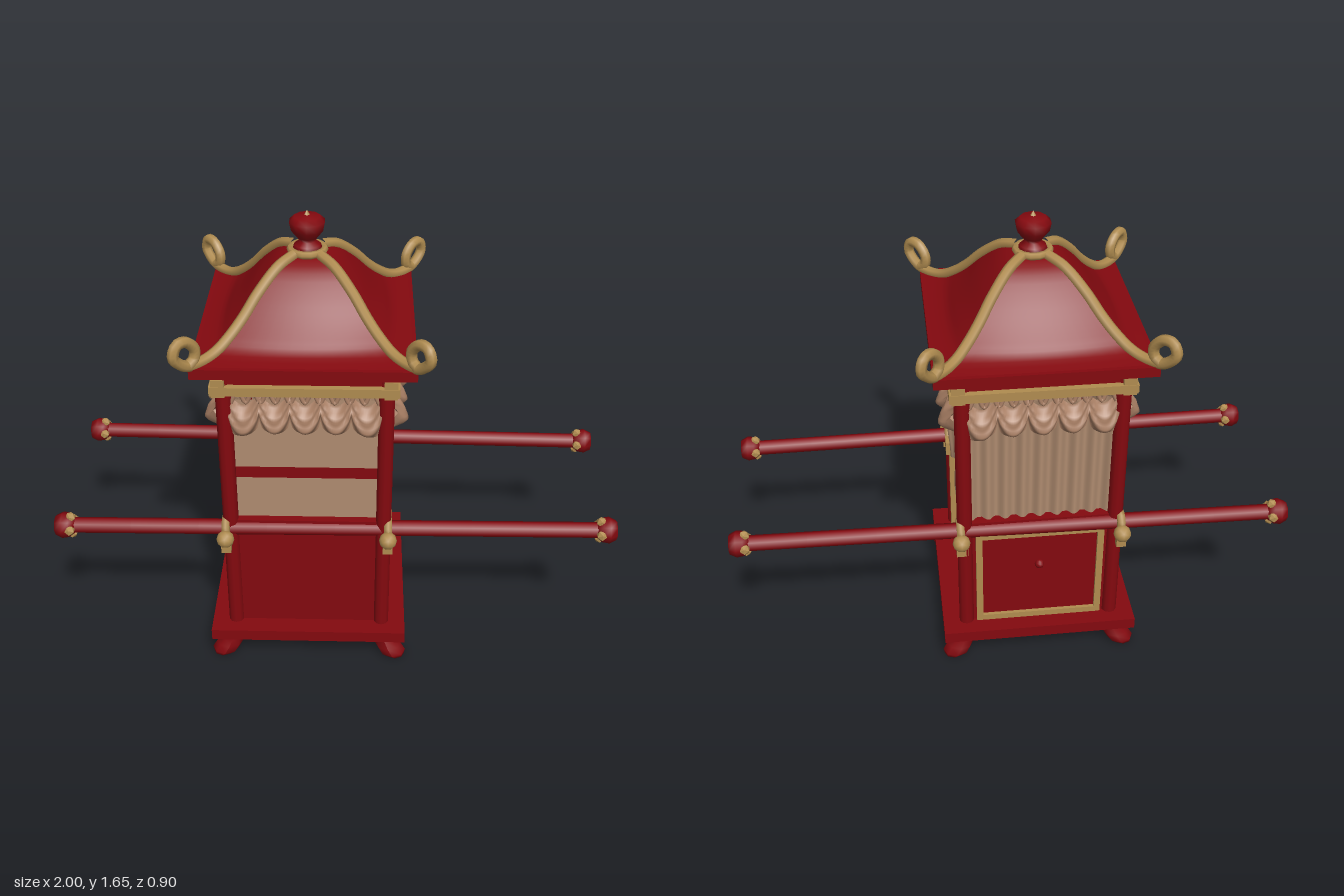
import * as THREE from 'three';

const mat = (name, color, side = THREE.FrontSide) => {
  const m = new THREE.MeshStandardMaterial({ color, side });
  m.name = name;
  return m;
};
const V2 = (a) => a.map(([x, y]) => new THREE.Vector2(x, y));

export function createModel() {
  const red = mat('lacquer red', 0x84090f, THREE.DoubleSide);
  const gold = mat('old gold', 0xb08c50);
  const cream = mat('curtain cream', 0xb08c70, THREE.DoubleSide);
  const swagTan = mat('swag tan', 0xaa8065, THREE.DoubleSide);

  const model = new THREE.Group();
  model.name = 'sedanChair';
  const body = new THREE.Group();
  body.name = 'cabin';
  body.position.set(-0.1, 0, -0.005);
  model.add(body);

  const add = (parent, name, geo, m, x = 0, y = 0, z = 0) => {
    const mesh = new THREE.Mesh(geo, m);
    mesh.name = name;
    mesh.position.set(x, y, z);
    parent.add(mesh);
    return mesh;
  };
  const box = (parent, name, m, w, h, d, x, y, z) =>
    add(parent, name, new THREE.BoxGeometry(w, h, d), m, x, y, z);
  const tube = (pts, r, seg) =>
    new THREE.TubeGeometry(new THREE.CatmullRomCurve3(pts), seg, r, 7, false);
  const bend = (geo, rule) => {
    const p = geo.attributes.position;
    const v = new THREE.Vector3();
    for (let i = 0; i < p.count; i++) {
      rule(v.fromBufferAttribute(p, i));
      p.setXYZ(i, v.x, v.y, v.z);
    }
    geo.computeVertexNormals();
    return geo;
  };

  // Cloth hung between two heights, with vertical pleats
  const cloth = (w, y0, y1, amp, pleats) =>
    bend(new THREE.PlaneGeometry(w, y1 - y0, 80, 1), (v) => {
      v.z = amp * Math.cos((v.x / w) * pleats * Math.PI * 2);
      v.y += (y0 + y1) / 2;
    });

  // Row of gathered scallops
  const swag = (w, n, depth) =>
    bend(new THREE.PlaneGeometry(1, 1, 70, 10), (v) => {
      const u = v.x + 0.5, t = 0.5 - v.y;
      const lobe = Math.abs(Math.sin(u * n * Math.PI));
      const top = 1.125 - 0.035 * lobe;
      const bottom = 1.035 - 0.06 * Math.sqrt(lobe) - 0.03 * Math.pow(Math.abs(2 * u - 1), 6);
      v.x = (u - 0.5) * w;
      v.y = top + (bottom - top) * t;
      v.z = depth * Math.sin(Math.PI * Math.pow(t, 1.3) * 0.95) * (0.4 + 0.6 * lobe)
        + 0.006 * Math.sin(t * 14 - lobe * 3);
    });

  // Base, eave and beams under the roof
  box(body, 'basePlatform', red, 0.72, 0.045, 0.75, 0, 0.1225, 0);
  box(body, 'roofEave', red, 0.735, 0.036, 0.785, 0, 1.254, 0);
  box(body, 'underEave', red, 0.6, 0.03, 0.65, 0, 1.225, 0);

  // Corner posts and flared feet
  for (const sx of [-1, 1]) for (const sz of [-1, 1]) {
    add(body, 'cornerPost', new THREE.CylinderGeometry(0.028, 0.028, 1.1, 10), red, sx * 0.272, 0.69, sz * 0.3);
    add(body, 'beamKnot', new THREE.BoxGeometry(0.045, 0.065, 0.045), gold, sx * 0.285, 1.17, sz * 0.318);
    const foot = new THREE.LatheGeometry(V2([[0, 0.005], [0.032, 0.005], [0.045, 0.022],
      [0.044, 0.05], [0.034, 0.075], [0.036, 0.11], [0, 0.11]]), 8);
    add(body, 'foot', bend(foot, (v) => {
      const out = Math.pow(Math.max(0, 1 - v.y / 0.11), 1.3);
      v.x = v.x * 1.1 + sx * 0.055 * out;
      v.z += sz * 0.016 * out;
    }), red, sx * 0.275, 0, sz * 0.315);
  }

  // Roof outline as fraction of half width against height
  const roofLine = new THREE.SplineCurve(V2([[0.02, 1.525], [0.25, 1.495], [0.42, 1.43],
    [0.55, 1.365], [0.66, 1.32], [0.78, 1.285], [0.99, 1.27]]));

  const sides = [
    { name: 'front', angle: 0, dist: 0.3, half: 0.272, rd: 0.392, rh: 0.367 },
    { name: 'left', angle: Math.PI / 2, dist: 0.272, half: 0.3, rd: 0.367, rh: 0.392 },
    { name: 'back', angle: Math.PI, dist: 0.3, half: 0.272, rd: 0.392, rh: 0.367 },
    { name: 'right', angle: -Math.PI / 2, dist: 0.272, half: 0.3, rd: 0.367, rh: 0.392 },
  ];
  for (const s of sides) {
    const g = new THREE.Group();
    g.name = s.name + 'Side';
    g.rotation.y = s.angle;
    body.add(g);
    const w = s.half * 2 - 0.05;

    // Curved roof face, slightly bulged in the middle
    add(g, 'roofFace', bend(new THREE.PlaneGeometry(2, 1, 12, 20), (v) => {
      const t = 0.5 - v.y, p = roofLine.getPoint(t);
      v.set(v.x * p.x * s.rh, p.y, p.x * s.rd * (1 + 0.1 * Math.sin(Math.PI * t) * (1 - v.x * v.x)));
    }), red);

    // Red lintel, gold beam, hooks and swag
    box(g, 'lintel', red, s.half * 2 + 0.03, 0.05, 0.04, 0, 1.2, s.dist);
    box(g, 'goldBeam', gold, s.half * 2 + 0.08, 0.032, 0.05, 0, 1.161, s.dist + 0.018);
    const zig = [];
    for (let i = 0; i <= 20; i++) zig.push(new THREE.Vector3((i / 20 - 0.5) * w, i % 2 ? 1.145 : 1.1, 0));
    add(g, 'swagHooks', tube(zig, 0.008, 100), swagTan, 0, 0, s.dist + 0.005);
    const deep = s.half > 0.28 ? 0.075 : 0.04;
    add(g, 'swag', swag(w + 0.02, 5, deep), swagTan, 0, 0, s.dist + 0.003);

    if (s.name !== 'left') {
      // Lower wall, rail and curtain
      box(g, 'lowerWall', red, w, 0.46, 0.02, 0, 0.37, s.dist - 0.005);
      box(g, 'wallRail', red, w, 0.05, 0.036, 0, 0.59, s.dist - 0.005);
      const pleat = { front: 0, back: 0.012, right: 0.006 }[s.name];
      add(g, 'curtain', cloth(w, 0.6, 1.1, pleat, 8), cream, 0, 0, s.dist - 0.015);
      const stripes = { front: [0.004, -0.004], right: [0.004], back: [] }[s.name];
      for (const o of stripes)
        add(g, 'curtainStripe', cloth(w, 0.785, 0.83, pleat, 8), red, 0, 0, s.dist - 0.015 + o);
    }
    if (s.name === 'back') {
      // Gold framed panel with a small knob
      for (const k of [-1, 1]) {
        box(g, 'frameUpright', gold, 0.024, 0.41, 0.02, k * 0.222, 0.355, s.dist + 0.008);
        box(g, 'frameRail', gold, 0.46, 0.024, 0.02, 0, 0.355 + k * 0.195, s.dist + 0.008);
      }
      add(g, 'panelKnob', new THREE.SphereGeometry(0.018, 8, 6), red, 0, 0.4, s.dist + 0.008);
    }
    if (s.name === 'left') {
      // Open doorway: gold jambs and tied-back drapes
      for (const k of [-1, 1]) {
        box(g, 'doorJamb', gold, 0.034, 0.41, 0.025, k * 0.237, 0.355, s.dist + 0.005);
        box(g, 'doorSidePanel', red, 0.05, 0.45, 0.02, k * 0.265, 0.37, s.dist - 0.005);
        const drape = new THREE.LatheGeometry(V2([[0.005, 0.53], [0.03, 0.54], [0.035, 0.6], [0.05, 0.7],
          [0.045, 0.78], [0.034, 0.88], [0.045, 0.98], [0.06, 1.09], [0, 1.1]]), 24);
        add(g, 'tiedDrape', bend(drape, (v) => {
          const r = 1 + 0.15 * Math.cos(Math.atan2(v.z, v.x) * 6);
          v.x *= r;
          v.z *= r * 0.6;
        }), cream, k * 0.218, 0, s.dist - 0.005);
      }
      box(g, 'drapeTie', gold, 0.055, 0.055, 0.045, -0.232, 0.575, s.dist + 0.008);
      box(g, 'doorLatch', gold, 0.115, 0.055, 0.04, 0.268, 0.505, s.dist + 0.01);
    }
  }

  // Gold roof ridges ending in upturned loops
  const ridge = [[0.12, 1.52], [0.25, 1.5], [0.42, 1.437], [0.55, 1.372], [0.66, 1.327], [0.78, 1.292],
    [0.9, 1.28], [1.02, 1.29], [1.1, 1.335], [1.07, 1.373], [1.0, 1.372], [0.94, 1.335], [0.95, 1.3], [1.0, 1.285]];
  for (const sx of [-1, 1]) for (const sz of [-1, 1])
    add(body, 'roofRidge', tube(ridge.map(([s, y]) =>
      new THREE.Vector3(sx * s * 0.367, y, sz * s * 0.392)), 0.019, 60), gold);

  // Finial
  const collar = add(body, 'finialCollar', new THREE.TorusGeometry(0.058, 0.013, 6, 14), gold, 0, 1.522, 0);
  collar.rotation.x = Math.PI / 2;
  add(body, 'finial', new THREE.LatheGeometry(V2([[0, 1.515], [0.055, 1.52], [0.045, 1.54], [0.028, 1.552],
    [0.034, 1.565], [0.056, 1.592], [0.062, 1.622], [0.045, 1.638], [0, 1.645]]), 10), red);
  add(body, 'finialTip', new THREE.ConeGeometry(0.012, 0.02, 6), gold, 0, 1.65, 0);

  // Carrying poles with end knobs and gold lashings
  const knobLine = V2([[0, -0.075], [0.028, -0.07], [0.044, -0.05], [0.048, -0.025], [0.036, 0], [0, 0]]);
  for (const [name, zr, zl] of [['frontPole', 0.305, 0.287], ['backPole', -0.328, -0.292]]) {
    const g = new THREE.Group();
    g.name = name;
    model.add(g);
    const out = Math.sign(zr);
    const zAt = (x) => zr + (zl - zr) * (x + 1) / 2;
    add(g, 'poleShaft', tube([-0.97, 0, 0.97].map((x) => new THREE.Vector3(x, 0.58, zAt(x))), 0.029, 8), red);
    for (const s of [-1, 1]) {
      const knob = add(g, 'poleKnob', new THREE.LatheGeometry(knobLine, 8), red, s, 0.58, zAt(s));
      knob.rotation.z = -s * Math.PI / 2;
      for (let i = 0; i < 4; i++) {
        const a = i * Math.PI / 2;
        add(g, 'knobStud', new THREE.IcosahedronGeometry(0.02, 0), gold,
          s * 0.945, 0.58 + 0.034 * Math.sin(a), zAt(s) + 0.034 * Math.cos(a));
      }
      const x = -0.1 + s * 0.288, z = zAt(x);
      const band = add(g, 'lashing', new THREE.TorusGeometry(0.035, 0.016, 6, 12), gold, x, 0.58, z);
      band.rotation.y = Math.PI / 2;
      add(g, 'lashingKnot', new THREE.IcosahedronGeometry(0.032, 1), gold, x, 0.565, z + out * 0.055);
      box(g, 'lashingTail', gold, 0.035, 0.07, 0.025, x, 0.535, z + out * 0.04);
    }
  }
  return model;
}
